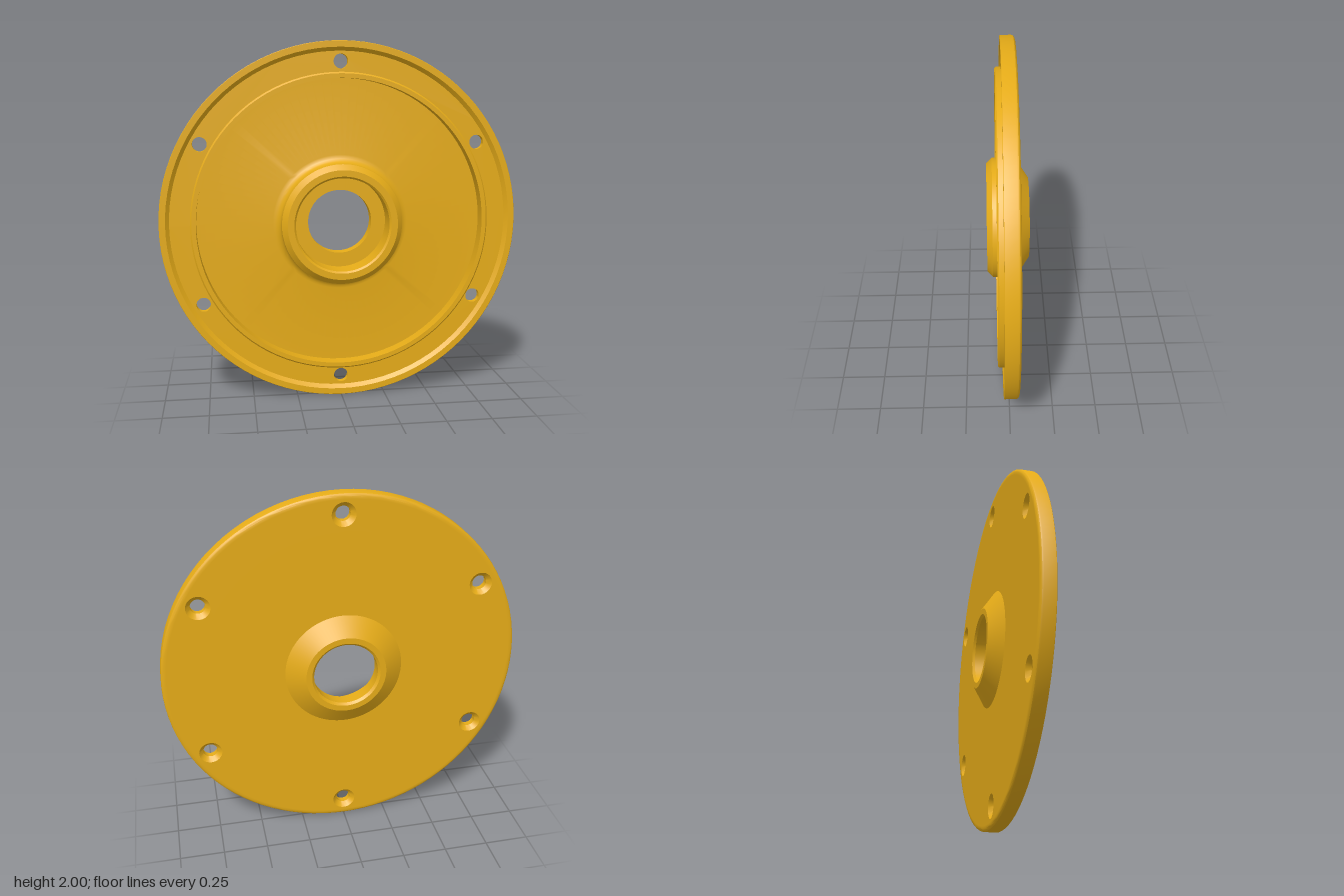
import * as THREE from 'three';
import { toCreasedNormals } from 'three/addons/utils/BufferGeometryUtils.js';

const SEGMENTS = 96, HOLE_SEGMENTS = 32;
const BACK = -0.045, LEDGE = 0.015, FLOOR = -0.01;

// Turned surface about the z axis; profile points are [radius, z]
function turned(profile, segments) {
  const points = profile.map(([r, z]) => new THREE.Vector2(r, z));
  const geometry = new THREE.LatheGeometry(points, segments).rotateX(Math.PI / 2);
  return toCreasedNormals(geometry, 0.45);
}

function circle(radius, count, cx = 0, cy = 0) {
  return Array.from({ length: count }, (_, i) => {
    const a = (i / count) * Math.PI * 2;
    return new THREE.Vector2(cx + radius * Math.cos(a), cy + radius * Math.sin(a));
  });
}

export function createModel() {
  const model = new THREE.Group();
  model.name = 'flangeCover';
  const material = new THREE.MeshStandardMaterial({ color: 0xe6ac18, side: THREE.DoubleSide });
  const add = (name, geometry) => {
    const mesh = new THREE.Mesh(geometry, material);
    mesh.name = name;
    mesh.position.y = 1;
    model.add(mesh);
    return mesh;
  };

  // Six screw positions on the bolt circle
  const screws = circle(0.89, 6).map((p) => p.rotateAround(new THREE.Vector2(), Math.PI / 6));

  // Flat ring pierced by the screw holes
  const piercedRing = (outer, inner, hole) => {
    const shape = new THREE.Shape(circle(outer, SEGMENTS));
    shape.holes.push(new THREE.Path(circle(inner, SEGMENTS)));
    screws.forEach((p) => shape.holes.push(new THREE.Path(circle(hole, HOLE_SEGMENTS, p.x, p.y))));
    return new THREE.ShapeGeometry(shape);
  };

  // Outer rim with rounded back edge and bevelled front lip
  add('outerRim', turned([
    [0.97, BACK], [0.984, BACK], [0.992, -0.042], [0.998, -0.036], [1, -0.028],
    [1, 0.033], [0.998, 0.035], [0.965, 0.035], [0.945, LEDGE],
  ], SEGMENTS));

  // Fillet where the hub meets the recessed floor
  const fillet = [];
  for (let i = 0; i <= 6; i++) {
    const a = (i / 6) * Math.PI / 2;
    fillet.push([0.38 - 0.045 * Math.sin(a), FLOOR + 0.045 * (1 - Math.cos(a))]);
  }

  // Locating ring, recessed floor, stepped hub bore and conical back boss
  add('plateAndHub', turned([
    [0.832, LEDGE], [0.832, 0.057], [0.824, 0.065], [0.8, 0.065], [0.8, FLOOR],
    ...fillet,
    [0.335, 0.085], [0.305, 0.115], [0.27, 0.115], [0.26, 0.105],
    [0.26, -0.03], [0.18, -0.03], [0.18, -0.102], [0.193, -0.115],
    [0.225, -0.115], [0.33, BACK], [0.8, BACK],
  ], SEGMENTS));

  // Front ledge and back face of the flange
  add('frontLedge', piercedRing(0.945, 0.832, 0.04)).position.z = LEDGE;
  add('backFace', piercedRing(0.97, 0.8, 0.065).rotateY(Math.PI)).position.z = BACK;

  // Countersunk screw hole walls
  const holeWall = turned([[0.04, LEDGE], [0.04, -0.02], [0.065, BACK]], HOLE_SEGMENTS);
  screws.forEach((p, i) => add(`screwHole${i + 1}`, holeWall).position.set(p.x, 1 + p.y, 0));

  return model;
}
